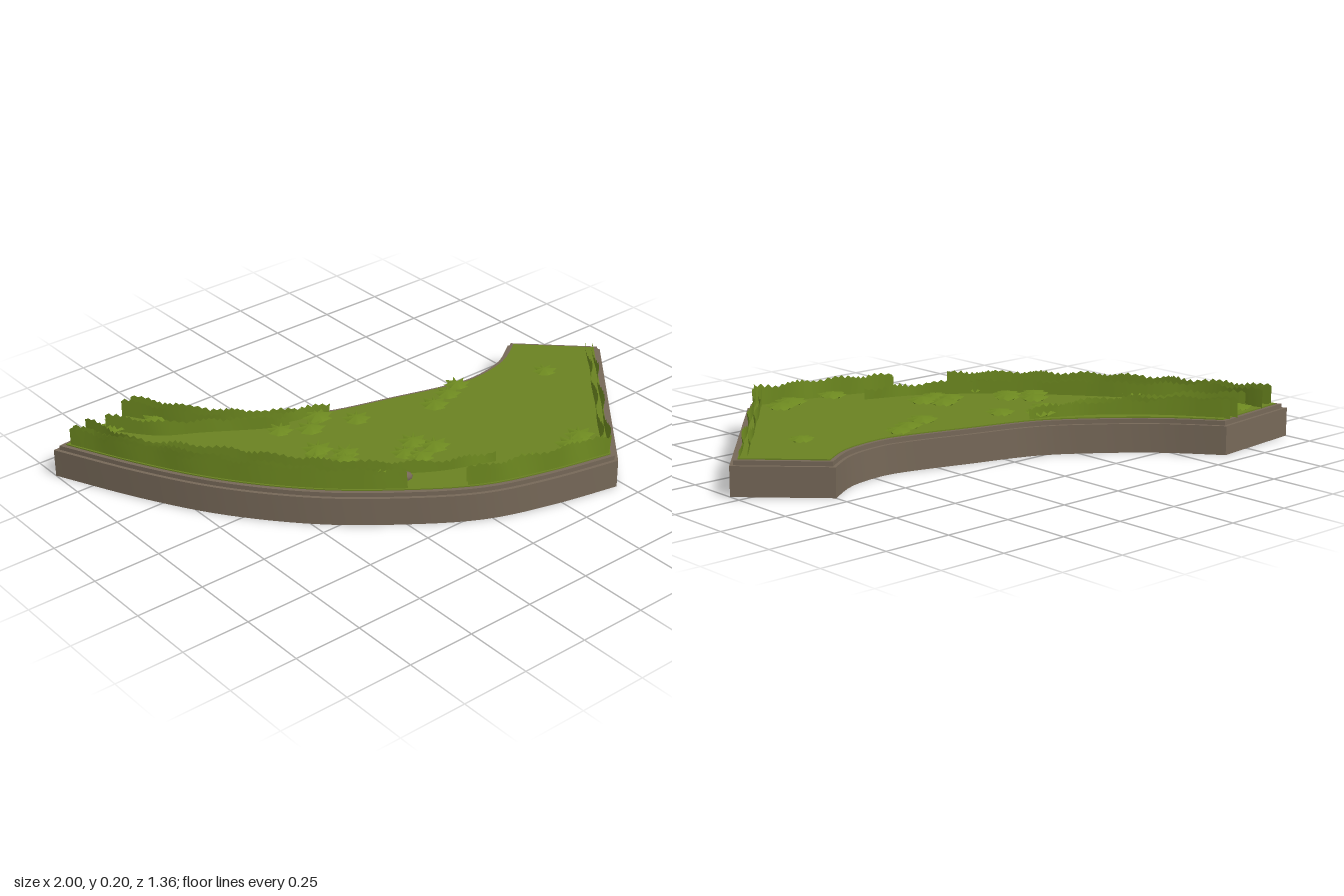
import * as THREE from 'three';
import { toCreasedNormals } from 'three/addons/utils/BufferGeometryUtils.js';

const stone = new THREE.MeshStandardMaterial({ color: 0x766858 });
stone.name = 'brown stone';
const lawnGreen = new THREE.MeshStandardMaterial({ color: 0x6a8222 });
lawnGreen.name = 'lawn green';
const bladeGreen = new THREE.MeshStandardMaterial({ color: 0x6e8a20, side: THREE.DoubleSide });
bladeGreen.name = 'blade green';

let seed = 7;
const rand = () => (seed = (seed * 16807) % 2147483647) / 2147483647;

// Smooth plan curve through [x, z] points
const curve = (pts, n) =>
  new THREE.SplineCurve(pts.map(p => new THREE.Vector2(...p))).getSpacedPoints(n);

// Plan outline: outer arc, slanted end, inner arc
const OUTER = 40;
const outline = [
  ...curve([[-1, -0.64], [-0.85, -0.32], [-0.69, -0.05], [-0.48, 0.2], [-0.24, 0.4],
    [-0.02, 0.54], [0.22, 0.62], [0.47, 0.675]], OUTER),
  new THREE.Vector2(1, 0.05),
  ...curve([[0.75, -0.195], [0.62, -0.115], [0.47, -0.085], [0.35, -0.1], [0.14, -0.16],
    [-0.12, -0.24], [-0.32, -0.37], [-0.48, -0.51], [-0.62, -0.68]], 40),
];

// Move every outline point inwards by d, mitred at corners
function inset(d) {
  const n = outline.length;
  const normal = (a, b) => new THREE.Vector2(b.y - a.y, a.x - b.x).normalize();
  return outline.map((p, i) => {
    const n1 = normal(outline[(i + n - 1) % n], p);
    const n2 = normal(p, outline[(i + 1) % n]);
    const m = n1.clone().add(n2).normalize();
    return p.clone().addScaledVector(m, d / Math.max(0.4, m.dot(n1)));
  });
}

function slab(name, d, y0, y1, material) {
  const shape = new THREE.Shape(inset(d).map(p => new THREE.Vector2(p.x, -p.y)));
  const raw = new THREE.ExtrudeGeometry(shape, { depth: y1 - y0, bevelEnabled: false });
  raw.rotateX(-Math.PI / 2).translate(0, y0, 0);
  const mesh = new THREE.Mesh(toCreasedNormals(raw, 0.6), material);
  mesh.name = name;
  return mesh;
}

// Upright grass strip with a ragged top; height runs from h0 to h1
function grassStrip(name, pts, h0, h1) {
  const path = new THREE.SplineCurve(pts);
  const n = Math.round(path.getLength() / 0.012);
  const pos = [], index = [];
  path.getSpacedPoints(n).forEach((p, i) => {
    const t = i / n;
    const wave = 0.005 * Math.sin(i * 0.45) + (i % 2 ? 0.004 : -0.006) * (0.4 + rand());
    const top = THREE.MathUtils.lerp(h0, h1, t) + wave;
    const w = 0.006 * Math.sin(i * 0.3);
    pos.push(p.x, 0.115, p.y, p.x + w, top, p.y + w);
    if (i < n) {
      const a = i * 2;
      index.push(a, a + 2, a + 1, a + 1, a + 2, a + 3);
    }
  });
  const g = new THREE.BufferGeometry();
  g.setAttribute('position', new THREE.Float32BufferAttribute(pos, 3));
  g.setIndex(index);
  g.computeVertexNormals();
  const mesh = new THREE.Mesh(g, bladeGreen);
  mesh.name = name;
  return mesh;
}

// Low star-shaped rosette of pointed leaves
function rosetteGeometry(points) {
  const pos = [0, 0.03, 0], index = [];
  const n = points * 2;
  for (let i = 0; i < n; i++) {
    const a = (i / n) * Math.PI * 2, r = i % 2 ? 0.03 : 0.056;
    pos.push(Math.cos(a) * r, i % 2 ? 0.006 : 0.02, Math.sin(a) * r);
    index.push(0, 1 + ((i + 1) % n), 1 + i);
  }
  const g = new THREE.BufferGeometry();
  g.setAttribute('position', new THREE.Float32BufferAttribute(pos, 3));
  g.setIndex(index);
  g.computeVertexNormals();
  return g;
}

export function createModel() {
  seed = 7;
  const model = new THREE.Group();
  model.name = 'curvedPlanter';

  // Bed: stone wall, stepped rim and lawn
  model.add(slab('wall', 0, 0, 0.105, stone));
  model.add(slab('rim', 0.012, 0.105, 0.121, stone));
  model.add(slab('lawn', 0.026, 0.118, 0.125, lawnGreen));

  // Grass along the outer edge and slanted end
  const V = (x, z) => new THREE.Vector2(x, z);
  for (const d of [0.032, 0.055]) {
    const edge = inset(d);
    model.add(grassStrip('outerGrass', edge.slice(1, 26), 0.19, 0.185));
    model.add(grassStrip('frontGrass', edge.slice(29, OUTER + 1), 0.185, 0.19));
    const a = edge[OUTER], b = edge[OUTER + 1];
    model.add(grassStrip('endGrass', [a, a.clone().lerp(b, 0.5), b], 0.19, 0.15));
  }

  // Grass rows inside the narrow half and along the inner edge
  const rows = [
    [[-0.87, -0.63], [-0.8, -0.4], [-0.66, -0.24], [-0.4, 0.08], [-0.13, 0.32], [0.12, 0.43]],
    [[-0.93, -0.6], [-0.77, -0.34], [-0.6, -0.08], [-0.4, 0.14], [-0.27, 0.27]],
    [[-0.8, -0.61], [-0.68, -0.46], [-0.55, -0.38], [-0.38, -0.27], [-0.28, -0.22]],
    [[-0.7, -0.66], [-0.56, -0.45], [-0.4, -0.29], [-0.12, -0.2]],
    [[-0.66, -0.66], [-0.52, -0.47], [-0.36, -0.32], [-0.2, -0.23]],
  ];
  for (const row of rows)
    model.add(grassStrip('innerGrass', row.map(p => V(...p)), 0.19, 0.165));

  // Leaf rosettes scattered over the lawn: x, z
  const spots = [[-0.08, -0.09], [0.68, 0.08], [0.2, 0.52], [0.38, 0.53], [0.45, 0.5],
    [0.2, 0.01], [0.29, -0.02], [0.36, -0.05], [-0.1, 0.2], [-0.03, 0.16], [0.01, 0.23],
    [-0.07, 0.25], [-0.34, -0.2], [-0.25, -0.14], [-0.18, -0.19], [-0.32, -0.01],
    [-0.26, 0.07], [-0.37, 0.04], [-0.29, 0.1], [-0.66, -0.19], [-0.77, -0.6],
    [-0.64, -0.54], [-0.26, 0.25]];
  const rosette = rosetteGeometry(8);
  for (const [x, z] of spots) {
    const mesh = new THREE.Mesh(rosette, bladeGreen);
    mesh.name = 'leafRosette';
    mesh.position.set(x, 0.123, z);
    mesh.rotation.y = rand() * 6;
    mesh.scale.setScalar(0.8 + rand() * 0.3);
    model.add(mesh);
  }

  // Small stone in the grass
  const rock = new THREE.Mesh(new THREE.IcosahedronGeometry(0.035, 1), stone);
  rock.name = 'rock';
  rock.scale.set(1, 0.6, 0.6);
  rock.rotation.y = -0.4;
  rock.position.set(-0.2, 0.13, 0.31);
  model.add(rock);

  return model;
}
